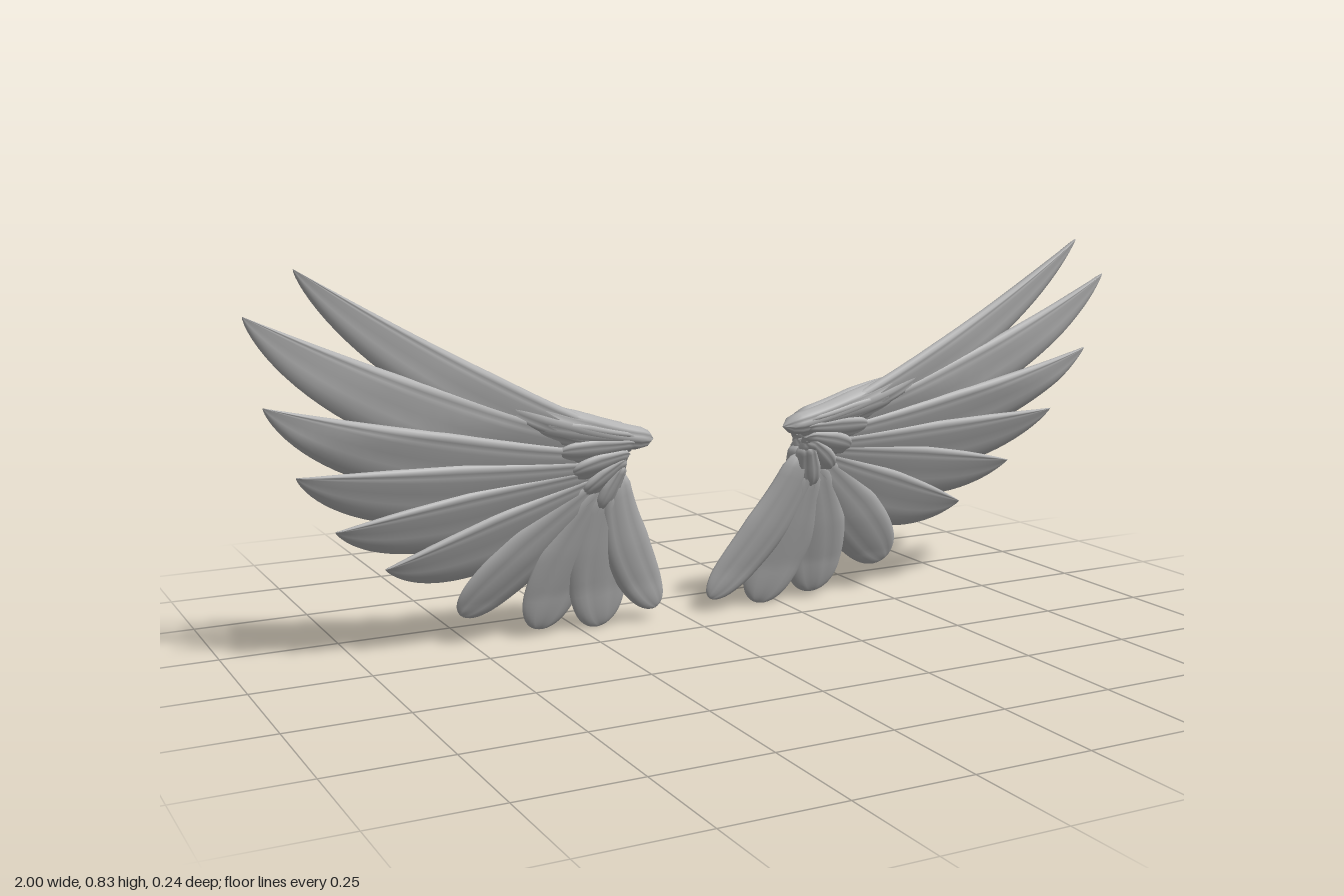
import * as THREE from 'three';

const grey = new THREE.MeshStandardMaterial({ color: 0xb4b4b4 });
grey.name = 'stoneGrey';

// Wing sheet: depth as a function of height, leaning forward and then upright
const SHEET = [[0, -0.112], [0.1, -0.077], [0.2, -0.032], [0.3, 0.01], [0.4, 0.05],
  [0.5, 0.084], [0.6, 0.1], [0.7, 0.108], [0.85, 0.118]];
function sheetZ(x, y) {
  let i = 0;
  while (i < SHEET.length - 2 && y > SHEET[i + 1][0]) i++;
  const [y0, z0] = SHEET[i], [y1, z1] = SHEET[i + 1];
  return z0 + (z1 - z0) * (y - y0) / (y1 - y0) - 0.015 * x;
}

// One feather: lens-shaped rings swept along a curved shaft.
// Pointed feathers keep a straight upper edge and a bellied lower edge.
function featherGeometry(side, { path, width, thick = 0.022, pointed = false, depth = 0, tilt = 0.01 }) {
  const [bx, by, cx, cy, tx, ty] = path;
  const shaft = new THREE.QuadraticBezierCurve(
    new THREE.Vector2(bx, by), new THREE.Vector2(cx, cy), new THREE.Vector2(tx, ty));
  const rows = 26, ring = 24, pos = [], index = [];
  for (let k = 0; k <= rows; k++) {
    const t = 1 - Math.pow(1 - k / rows, 1.7);
    const p = shaft.getPoint(t), d = shaft.getTangent(t);
    const root = Math.min(1, Math.sqrt(t / 0.1));
    const grow = root * (0.6 + 0.4 * Math.min(1, t / 0.5));
    const round = Math.sqrt(Math.max(0, 1 - Math.pow(t, 6)));
    const upper = width * grow * (pointed ? 0.4 * (1 - t ** 3) : round);
    const lower = width * grow * (pointed ? Math.pow(Math.max(0, 1 - t ** 5), 0.8) : round);
    const body = thick * root * Math.pow(Math.max(0, 1 - t ** 5), 0.5);
    for (let j = 0; j < ring; j++) {
      const a = j / ring * Math.PI * 2, s = Math.cos(a), h = Math.sin(a);
      const off = s * (s > 0 ? upper : lower);
      const x = p.x - d.y * off, y = Math.max(0, p.y + d.x * off);
      // shallow grooves either side of the shaft
      const relief = 0.87 + 0.13 * Math.cos(s * Math.PI * 3);
      const z = sheetZ(x, y) + depth + tilt * s * round + h * body * relief;
      pos.push(side * x, y, z);
    }
  }
  for (let k = 0; k < rows; k++) {
    for (let j = 0; j < ring; j++) {
      const a = k * ring + j, b = k * ring + (j + 1) % ring, c = a + ring, e = b + ring;
      if (side > 0) index.push(a, c, b, b, c, e);
      else index.push(a, b, c, b, e, c);
    }
  }
  const g = new THREE.BufferGeometry();
  g.setAttribute('position', new THREE.Float32BufferAttribute(pos, 3));
  // orient faces outward by checking the signed volume
  let vol = 0;
  const A = new THREE.Vector3(), B = new THREE.Vector3(), C = new THREE.Vector3();
  for (let i = 0; i < index.length; i += 3) {
    A.fromArray(pos, index[i] * 3); B.fromArray(pos, index[i + 1] * 3); C.fromArray(pos, index[i + 2] * 3);
    vol += A.dot(B.cross(C));
  }
  if (vol < 0) index.reverse();
  g.setIndex(index);
  g.computeVertexNormals();
  return g;
}

// Long flight feathers, from leading edge round to the inner trailing edge
const FLIGHT = [
  { path: [0.2, 0.44, 0.5, 0.53, 0.905, 0.832], width: 0.085, pointed: true, depth: 0.006 },
  { path: [0.23, 0.43, 0.6, 0.5, 0.998, 0.748], width: 0.105, pointed: true },
  { path: [0.24, 0.41, 0.6, 0.43, 0.965, 0.575], width: 0.105, pointed: true },
  { path: [0.24, 0.39, 0.58, 0.375, 0.9, 0.43], width: 0.105, pointed: true },
  { path: [0.24, 0.38, 0.55, 0.325, 0.815, 0.305], width: 0.1, pointed: true },
  { path: [0.24, 0.37, 0.48, 0.265, 0.705, 0.208], width: 0.105, pointed: true },
  { path: [0.24, 0.36, 0.4, 0.21, 0.53, 0.075], width: 0.068 },
  { path: [0.235, 0.36, 0.32, 0.18, 0.345, 0.015], width: 0.075 },
  { path: [0.23, 0.36, 0.245, 0.17, 0.195, 0.005], width: 0.075 },
  { path: [0.235, 0.39, 0.2, 0.2, 0.065, 0.035], width: 0.056 },
];

// Short covert feathers on the back and the front
const BACK_COVERTS = [
  { path: [0.19, 0.45, 0.34, 0.47, 0.485, 0.52], width: 0.045, thick: 0.03, depth: -0.03 },
  { path: [0.2, 0.43, 0.32, 0.43, 0.42, 0.45], width: 0.042, depth: -0.028 },
  { path: [0.21, 0.42, 0.3, 0.4, 0.365, 0.39], width: 0.04, depth: -0.026 },
  { path: [0.215, 0.41, 0.27, 0.37, 0.315, 0.335], width: 0.036, depth: -0.022 },
  { path: [0.22, 0.4, 0.235, 0.34, 0.25, 0.29], width: 0.03, depth: -0.018 },
];
const FRONT_COVERTS = [
  { path: [0.2, 0.45, 0.32, 0.46, 0.43, 0.495], width: 0.032, depth: 0.012 },
  { path: [0.2, 0.44, 0.29, 0.43, 0.37, 0.435], width: 0.03, depth: 0.014 },
  { path: [0.21, 0.42, 0.28, 0.4, 0.335, 0.385], width: 0.03, depth: 0.014 },
  { path: [0.215, 0.41, 0.26, 0.37, 0.3, 0.335], width: 0.028, depth: 0.012 },
  { path: [0.22, 0.4, 0.24, 0.34, 0.255, 0.295], width: 0.026, depth: 0.01 },
];

// Rounded limb along the inner leading edge
const LIMB = [{ path: [0.155, 0.448, 0.3, 0.46, 0.5, 0.55], width: 0.036, thick: 0.034, depth: 0.004, tilt: 0 }];

function buildWing(side, name) {
  const wing = new THREE.Group();
  wing.name = name;
  const parts = { flightFeather: FLIGHT, backCovert: BACK_COVERTS, frontCovert: FRONT_COVERTS, wingLimb: LIMB };
  for (const [part, list] of Object.entries(parts)) {
    list.forEach((spec, i) => {
      const mesh = new THREE.Mesh(featherGeometry(side, spec), grey);
      mesh.name = list.length > 1 ? `${part}${i + 1}` : part;
      wing.add(mesh);
    });
  }
  return wing;
}

export function createModel() {
  const model = new THREE.Group();
  model.name = 'wings';
  model.add(buildWing(1, 'leftWing'), buildWing(-1, 'rightWing'));
  return model;
}
